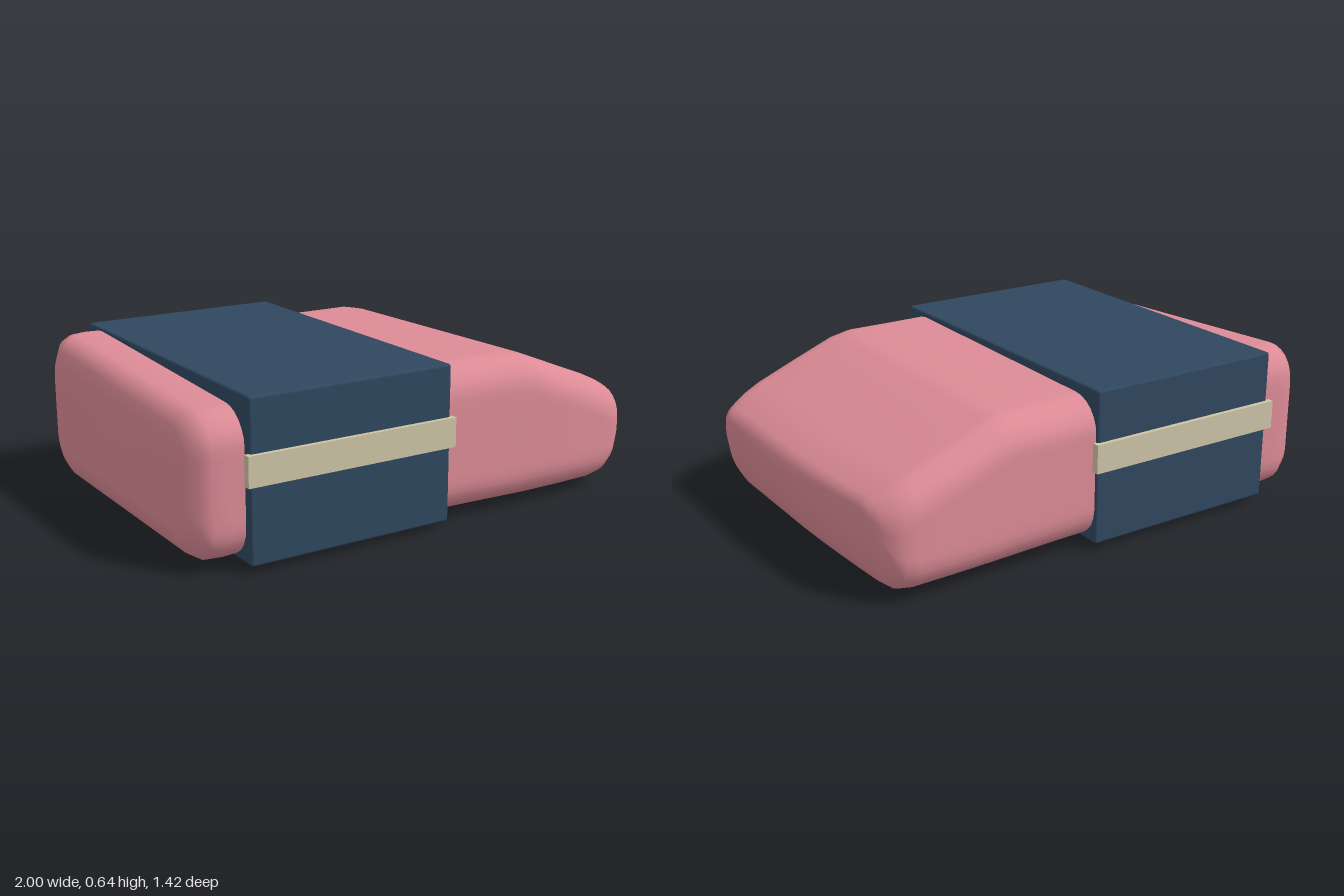
import * as THREE from 'three';
import { RoundedBoxGeometry } from 'three/addons/geometries/RoundedBoxGeometry.js';

const ARC = 6, EDGE = 8;

// Rounded rectangle in the z-y plane, running from +z towards +y
function ring(yb, yt, zMin, zMax, radius) {
  const r = Math.min(radius, (yt - yb) / 2 - 0.01);
  const corners = [
    [zMax - r, yt - r, 0], [zMin + r, yt - r, 1],
    [zMin + r, yb + r, 2], [zMax - r, yb + r, 3],
  ];
  const points = [];
  corners.forEach(([cz, cy, quarter], k) => {
    for (let i = 0; i <= ARC; i++) {
      const a = (quarter + i / ARC) * Math.PI / 2;
      points.push([cz + r * Math.cos(a), cy + r * Math.sin(a)]);
    }
    // Subdivide the straight run to the next corner
    const [nz, ny, nq] = corners[(k + 1) % 4];
    const start = points[points.length - 1];
    const a = nq * Math.PI / 2;
    const end = [nz + r * Math.cos(a), ny + r * Math.sin(a)];
    for (let i = 1; i < EDGE; i++) {
      const t = i / EDGE;
      points.push([start[0] + (end[0] - start[0]) * t, start[1] + (end[1] - start[1]) * t]);
    }
  });
  return points;
}

// Slight hand-worn irregularity: skewed end, tilted top and a sag underneath
function wear(x, y, z) {
  const skew = 0.05 * Math.pow(Math.max(0, -z / 0.65), 1.5) * Math.max(0, (x - 0.8) / 0.2);
  const upper = Math.min(1, Math.max(0, (y - 0.3) / 0.25));
  const tilt = (x < 0 ? 0.035 * x : 0.012) * z / 0.65 * upper;
  const u = (x + 0.5) / 0.38, v = (z + 0.25) / 0.4;
  const sag = y < 0.15
    ? 0.037 * Math.max(0, 1 - u * u) * Math.max(0, 1 - Math.pow(v, 4)) : 0;
  return [x - skew, y + tilt - sag, z];
}

function bodyGeometry() {
  // x, bottom, top, back, front, corner radius
  const stations = [
    [-1.00, 0.16, 0.49, -0.57, 0.51, 0.10],
    [-0.99, 0.10, 0.55, -0.62, 0.57, 0.12],
    [-0.96, 0.055, 0.59, -0.66, 0.625, 0.13],
    [-0.92, 0.032, 0.605, -0.68, 0.645, 0.13],
    [-0.86, 0.030, 0.61, -0.685, 0.65, 0.13],
    [-0.78, 0.037, 0.61, -0.685, 0.655, 0.13],
    [-0.65, 0.037, 0.61, -0.68, 0.66, 0.13],
    [-0.50, 0.037, 0.61, -0.68, 0.66, 0.13],
    [-0.35, 0.037, 0.61, -0.68, 0.67, 0.13],
    [-0.20, 0.037, 0.61, -0.68, 0.67, 0.13],
    [0.00, 0.037, 0.615, -0.68, 0.68, 0.13],
    [0.20, 0.034, 0.613, -0.682, 0.682, 0.13],
    [0.40, 0.031, 0.612, -0.688, 0.686, 0.13],
    [0.48, 0.030, 0.595, -0.69, 0.688, 0.13],
    [0.66, 0.030, 0.525, -0.697, 0.687, 0.13],
    [0.82, 0.030, 0.465, -0.70, 0.68, 0.13],
    [0.89, 0.036, 0.435, -0.692, 0.668, 0.13],
    [0.93, 0.06, 0.415, -0.675, 0.655, 0.13],
    [0.965, 0.12, 0.395, -0.645, 0.63, 0.11],
    [0.985, 0.20, 0.38, -0.61, 0.595, 0.08],
    [1.00, 0.29, 0.355, -0.56, 0.54, 0.03],
  ];
  const positions = [], index = [];
  let n = 0;
  for (const [x, yb, yt, zMin, zMax, r] of stations) {
    const points = ring(yb, yt, zMin, zMax, r);
    n = points.length;
    for (const [z, y] of points) positions.push(...wear(x, y, z));
  }
  const last = stations.length - 1;
  for (let i = 0; i < last; i++) {
    for (let j = 0; j < n; j++) {
      const k = (j + 1) % n;
      const a = i * n + j, b = i * n + k, c = a + n, d = b + n;
      index.push(a, c, b, b, c, d);
    }
  }
  // Close both ends
  for (const i of [0, last]) {
    const [x, yb, yt, zMin, zMax] = stations[i];
    const centre = positions.length / 3;
    positions.push(x, (yb + yt) / 2, (zMin + zMax) / 2);
    for (let j = 0; j < n; j++) {
      const a = i * n + j, b = i * n + (j + 1) % n;
      if (i === 0) index.push(centre, a, b);
      else index.push(centre, b, a);
    }
  }
  const geometry = new THREE.BufferGeometry();
  geometry.setAttribute('position', new THREE.Float32BufferAttribute(positions, 3));
  geometry.setIndex(index);
  geometry.computeVertexNormals();
  return geometry;
}

export function createModel() {
  const material = (name, color) => {
    const m = new THREE.MeshStandardMaterial({ color });
    m.name = name;
    return m;
  };
  const pink = material('pink rubber', 0xdc8b96);
  const navy = material('navy card', 0x2f475f);
  const cream = material('cream stripe', 0xcdc3a6);

  const model = new THREE.Group();
  model.name = 'eraser';
  const add = (name, geometry, mat, x, y, z) => {
    const mesh = new THREE.Mesh(geometry, mat);
    mesh.name = name;
    mesh.position.set(x, y, z);
    model.add(mesh);
  };

  // Rubber block with a sloped end
  add('rubberBody', bodyGeometry(), pink, 0, 0, 0);

  // Card sleeve wrapped around the block
  add('sleeve', new RoundedBoxGeometry(0.85, 0.615, 1.384, 2, 0.01), navy, -0.375, 0.3375, 0);

  // Stripe on each long side of the sleeve
  for (const side of [1, -1]) {
    add(side > 0 ? 'frontStripe' : 'backStripe',
      new THREE.BoxGeometry(0.88, 0.115, 0.03), cream, -0.377, 0.385, side * 0.695);
  }
  return model;
}
